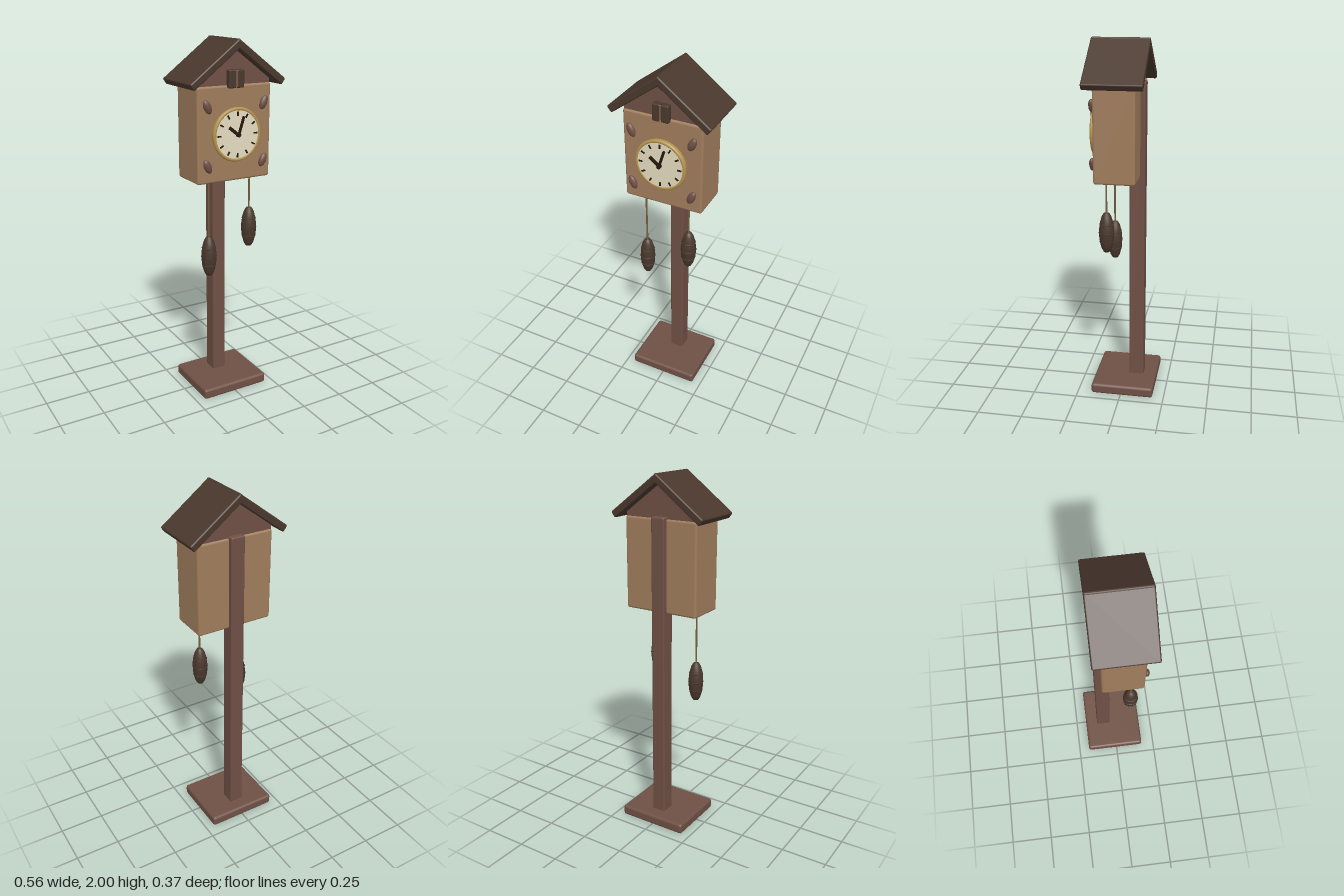
import * as THREE from 'three';
import { RoundedBoxGeometry } from 'three/addons/geometries/RoundedBoxGeometry.js';

const mat = (name, color) => {
  const m = new THREE.MeshStandardMaterial({ color });
  m.name = name;
  return m;
};

export function createModel() {
  const root = new THREE.Group();
  root.name = 'cuckooClock';

  const post = mat('mid brown wood', 0x6f5045);
  const dark = mat('dark brown wood', 0x4a382d);
  const oak = mat('light brown wood', 0xa07d5c);
  const gold = mat('brass', 0xb5964f);
  const cream = mat('cream dial', 0xe6dcc0);
  const black = mat('dark hands', 0x241811);
  const chainMat = mat('chain', 0x75603f);

  const add = (name, geometry, material, x = 0, y = 0, z = 0, parent = root) => {
    const m = new THREE.Mesh(geometry, material);
    m.name = name;
    m.position.set(x, y, z);
    parent.add(m);
    return m;
  };
  // Rounded box given by its limits
  const block = (name, material, [x0, x1], [y0, y1], [z0, z1], r, parent = root) =>
    add(name, new RoundedBoxGeometry(x1 - x0, y1 - y0, z1 - z0, 2, r), material,
      (x0 + x1) / 2, (y0 + y1) / 2, (z0 + z1) / 2, parent);

  // Stand and case
  block('base', post, [-0.203, 0.203], [0, 0.06], [-0.187, 0.17], 0.015);
  block('post', post, [-0.04, 0.04], [0.05, 1.78], [-0.112, -0.027], 0.008);
  block('case', oak, [-0.22, 0.22], [1.265, 1.77], [-0.085, 0.138], 0.012);

  // Gable prism under the roof
  const tri = new THREE.Shape([
    new THREE.Vector2(-0.215, 1.765), new THREE.Vector2(0.215, 1.765),
    new THREE.Vector2(0.215, 1.79), new THREE.Vector2(0, 1.965), new THREE.Vector2(-0.215, 1.79),
  ]);
  add('gable', new THREE.ExtrudeGeometry(tri, { depth: 0.205, bevelEnabled: false }), post, 0, 0, -0.077);

  // Two roof slabs meeting at the ridge
  const slope = 0.644, len = 0.356, thick = 0.04;
  for (const s of [-1, 1]) {
    const cx = 0.282 - Math.cos(slope) * len / 2 - Math.sin(slope) * thick / 2;
    const cy = 1.79 + Math.sin(slope) * len / 2 - Math.cos(slope) * thick / 2;
    add(s > 0 ? 'roofLeft' : 'roofRight', new RoundedBoxGeometry(len, thick, 0.316, 2, 0.008),
      dark, s * cx, cy, 0.027).rotation.z = -s * slope;
  }

  // Bird door: two leaves with a pale slit between them
  const door = new THREE.Group();
  door.name = 'birdDoor';
  root.add(door);
  block('doorLeaf', dark, [-0.045, -0.002], [1.755, 1.848], [0.11, 0.16], 0.007, door);
  block('doorLeaf', dark, [0.002, 0.045], [1.755, 1.848], [0.11, 0.16], 0.007, door);
  add('doorSlit', new THREE.BoxGeometry(0.006, 0.085, 0.008), oak, 0, 1.802, 0.154, door);

  // Clock dial
  const dial = new THREE.Group();
  dial.name = 'dial';
  dial.position.set(0, 1.517, 0);
  root.add(dial);
  const disc = (name, r, z0, z1, m) => {
    const g = new THREE.CylinderGeometry(r, r, z1 - z0, 48).rotateX(Math.PI / 2);
    add(name, g, m, 0, 0, (z0 + z1) / 2, dial);
  };
  disc('dialBack', 0.135, 0.13, 0.158, gold);
  disc('dialFace', 0.13, 0.155, 0.167, cream);
  add('dialRim', new THREE.TorusGeometry(0.133, 0.01, 10, 48), gold, 0, 0, 0.16, dial);

  // Bar lying on the dial from r0 to r1, turned clockwise from twelve
  const bar = (name, turn, r0, r1, w, z, depth) => {
    const g = new THREE.BoxGeometry(w, r1 - r0, depth).translate(0, (r0 + r1) / 2, 0);
    add(name, g, black, 0, 0, z, dial).rotation.z = -turn;
  };
  for (let i = 0; i < 12; i++) bar('hourMark', i * Math.PI / 6, 0.098, 0.12, 0.008, 0.168, 0.006);
  bar('hourHand', -0.9, -0.01, 0.067, 0.016, 0.175, 0.009);
  bar('minuteHand', 0.31, -0.01, 0.1, 0.012, 0.18, 0.009);
  disc('handPin', 0.011, 0.165, 0.186, black);

  // Carved leaves at the corners of the case
  for (const s of [-1, 1]) for (const y of [1.67, 1.362]) {
    const leaf = add('carvedLeaf', new THREE.SphereGeometry(1, 18, 12), post, s * 0.168, y, 0.15);
    leaf.scale.set(0.021, 0.039, 0.016);
    leaf.rotation.z = -s * 0.42;
  }

  // Pine-cone weights on chains
  const profile = [[0, -0.115], [0.016, -0.111], [0.027, -0.092], [0.036, -0.06], [0.041, -0.025], [0.042, 0],
    [0.041, 0.025], [0.036, 0.06], [0.027, 0.092], [0.016, 0.111], [0, 0.115]].map(p => new THREE.Vector2(...p));
  for (const [x, y] of [[-0.128, 0.841], [0.126, 0.971]]) {
    const weight = new THREE.Group();
    weight.name = 'weight';
    weight.position.set(x, y, 0.085);
    root.add(weight);
    const h = 1.275 - y - 0.1;
    add('chain', new THREE.CylinderGeometry(0.005, 0.005, h, 8), chainMat, 0, 0.1 + h / 2, 0, weight);
    add('pineCone', new THREE.LatheGeometry(profile, 20), dark, 0, 0, 0, weight);
    for (const [ry, r] of [[-0.05, 0.037], [0, 0.041], [0.05, 0.037]])
      add('coneRing', new THREE.TorusGeometry(r, 0.003, 6, 20).rotateX(Math.PI / 2), dark, 0, ry, 0, weight);
  }
  return root;
}
